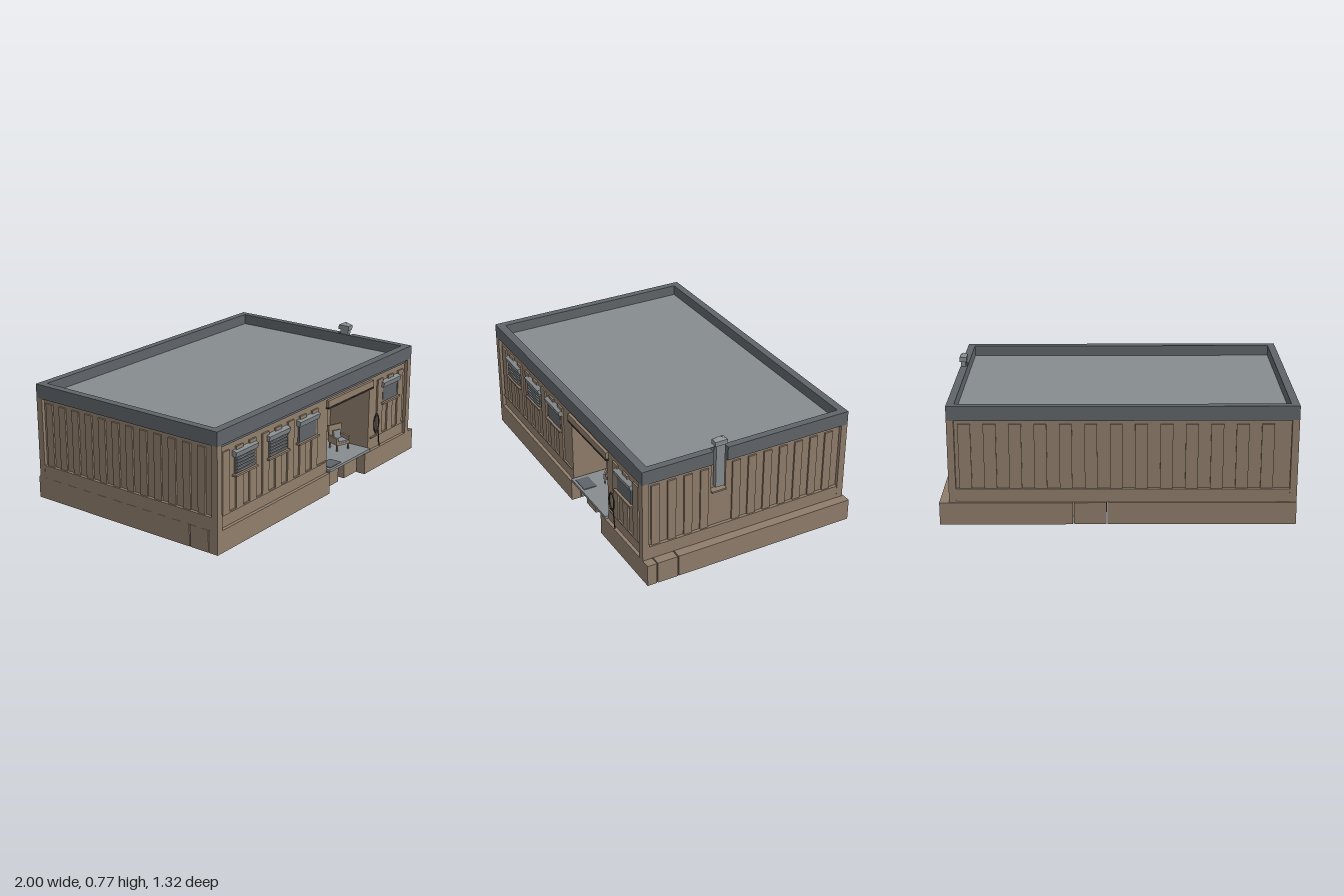
import * as THREE from 'three';

const paint = (name, hex) => {
  const m = new THREE.MeshStandardMaterial({ color: hex });
  m.name = name;
  return m;
};

export function createModel() {
  const brown = paint('clay brown', 0x8f7d6b);
  const slate = paint('slate grey', 0x5f6468);
  const grey = paint('light grey', 0x868b8e);
  const dark = paint('dark glass', 0x4a4f53);
  const black = paint('dark trim', 0x35312e);

  const model = new THREE.Group();
  model.name = 'building';

  const add = (parent, name, geo, mat) => {
    const m = new THREE.Mesh(geo, mat);
    m.name = name;
    parent.add(m);
    return m;
  };
  // Box given by its minimum and maximum on each axis
  const box = (parent, name, mat, x0, x1, y0, y1, z0, z1) => {
    const m = add(parent, name, new THREE.BoxGeometry(x1 - x0, y1 - y0, z1 - z0), mat);
    m.position.set((x0 + x1) / 2, (y0 + y1) / 2, (z0 + z1) / 2);
    return m;
  };
  const group = (parent, name) => {
    const g = new THREE.Group();
    g.name = name;
    parent.add(g);
    return g;
  };
  const extrude = (pts, depth, hole) => {
    const s = new THREE.Shape(pts.map(p => new THREE.Vector2(...p)));
    if (hole) s.holes.push(new THREE.Path(hole.map(p => new THREE.Vector2(...p))));
    return new THREE.ExtrudeGeometry(s, { depth, bevelEnabled: false });
  };

  // Foundation blocks in three rows with narrow joints, notched under the porch
  const base = group(model, 'foundation');
  const rows = [
    [-0.655, 0.463, [[-1, 0.058], [0.064, 0.246], [0.252, 1]]],
    [0.47, 0.592, [[-1, 0.058], [0.13, 0.246], [0.31, 1]]],
    [0.598, 0.655, [[-1, 0.058], [0.44, 1]]],
  ];
  for (const [z0, z1, spans] of rows)
    for (const [x0, x1] of spans) box(base, 'foundationBlock', brown, x0, x1, 0, 0.13, z0, z1);

  // One clad wall, built facing +z and turned into place
  const wall = (name, turn, d, u0, u1, o) => {
    const g = group(model, name);
    g.rotation.y = turn;
    const panel = add(g, 'wallPanel', extrude([
      [u0 + 0.02, 0.13], ...(o.bottom || []), [u1 - 0.02, 0.13],
      [u1 - 0.02, 0.61], ...(o.top || []), [u0 + 0.02, 0.61]], 0.025), brown);
    panel.position.z = d - 0.045;
    box(g, 'cornerPost', brown, u0, u0 + 0.04, 0.13, 0.612, d - 0.04, d);
    box(g, 'cornerPost', brown, u1 - 0.035, u1, 0.13, 0.612, d - 0.04, d);
    if (o.sill) box(g, 'wallSill', brown, u0 + 0.04, u1 - 0.035, 0.13, 0.208, d - 0.04, d - 0.001);
    // Evenly spaced vertical ribs
    for (let u = u0 + 0.06; u < u1 - 0.09; u += o.step) {
      const w = o.step / 2;
      if ((o.skip || []).some(([a, b]) => u + w > a && u < b)) continue;
      box(g, 'rib', brown, u, u + w, 0.208, o.ribTop, d - 0.022, d - 0.01);
    }
    return g;
  };
  const front = wall('frontWall', 0, 0.655, -1, 0.945, {
    step: 0.117, ribTop: 0.56, skip: [[0.03, 0.53]],
    bottom: [[0.05, 0.13], [0.05, 0.535], [0.5, 0.535], [0.5, 0.13]],
  });
  wall('backWall', Math.PI, 0.645, -0.945, 1, { step: 0.14, ribTop: 0.585, sill: true });
  wall('leftWall', Math.PI / 2, 0.945, -0.655, 0.645, {
    step: 0.1, ribTop: 0.585, sill: true, skip: [[-0.225, -0.135]],
    top: [[-0.135, 0.61], [-0.135, 0.43], [-0.225, 0.43], [-0.225, 0.61]],
  });
  wall('rightWall', -Math.PI / 2, 1, -0.645, 0.655, { step: 0.1, ribTop: 0.585, sill: true });
  box(front, 'eaveStrip', slate, -0.96, 0.91, 0.59, 0.612, 0.62, 0.64);
  box(front, 'lowerRail', brown, -0.96, 0.04, 0.202, 0.21, 0.63, 0.645);
  box(front, 'lowerRail', brown, 0.52, 0.91, 0.202, 0.21, 0.63, 0.645);

  // Parapet ring, notched for the flue, around a flat roof
  const ring = add(model, 'parapet', extrude([
    [-1, -0.655], [0.945, -0.655], [0.945, -0.225], [0.908, -0.225],
    [0.908, -0.135], [0.945, -0.135], [0.945, 0.645], [-1, 0.645]], 0.083,
  [[-0.955, -0.605], [-0.955, 0.6], [0.902, 0.6], [0.902, -0.605]]), slate);
  ring.rotation.x = -Math.PI / 2;
  ring.position.y = 0.61;
  box(model, 'roofDeck', grey, -0.96, 0.905, 0.6, 0.63, -0.61, 0.61);

  // Flue standing in its niche
  const flue = group(model, 'flue');
  box(flue, 'nicheBack', brown, 0.89, 0.9, 0.42, 0.612, 0.13, 0.23);
  box(flue, 'nicheLedge', brown, 0.9, 0.94, 0.422, 0.432, 0.135, 0.225);
  box(flue, 'fluePipe', grey, 0.915, 0.943, 0.458, 0.73, 0.152, 0.207);
  box(flue, 'flueCap', grey, 0.907, 0.949, 0.72, 0.748, 0.142, 0.217);
  const tip = add(flue, 'flueTip', new THREE.ConeGeometry(Math.SQRT1_2, 0.02, 4).rotateY(Math.PI / 4), grey);
  tip.scale.set(0.042, 1, 0.075);
  tip.position.set(0.928, 0.758, 0.18);

  // Windows with awnings and sills, some with louvres
  [[-0.75, true], [-0.455, true], [-0.165, false], [0.72, false]].forEach(([x, louvred]) => {
    const w = group(front, 'window');
    box(w, 'glass', slate, x - 0.083, x + 0.083, 0.405, 0.51, 0.63, 0.647);
    box(w, 'awning', grey, x - 0.098, x + 0.098, 0.508, 0.54, 0.63, 0.662).rotation.x = 0.25;
    box(w, 'windowSill', brown, x - 0.098, x + 0.098, 0.397, 0.408, 0.63, 0.662);
    if (louvred) for (let i = 0; i < 5; i++) {
      const y = 0.416 + i * 0.018;
      box(w, 'louvre', grey, x - 0.08, x + 0.08, y, y + 0.009, 0.644, 0.656);
    }
  });

  // Porch recess, canopy, floor and door
  const porch = group(model, 'porch');
  box(porch, 'backPanel', brown, 0.04, 0.51, 0.13, 0.54, 0.35, 0.36);
  box(porch, 'sidePanel', brown, 0.04, 0.05, 0.13, 0.54, 0.35, 0.61);
  box(porch, 'sidePanel', brown, 0.5, 0.51, 0.13, 0.54, 0.35, 0.61);
  box(porch, 'ceiling', brown, 0.04, 0.51, 0.535, 0.545, 0.35, 0.61);
  box(porch, 'canopy', brown, 0.035, 0.518, 0.538, 0.578, 0.62, 0.652);
  box(porch, 'canopyTrim', black, 0.033, 0.52, 0.528, 0.537, 0.62, 0.654);
  box(porch, 'porchFloor', grey, 0.058, 0.498, 0.132, 0.148, 0.35, 0.655);
  box(porch, 'doorMat', slate, 0.085, 0.2, 0.148, 0.152, 0.56, 0.64);
  box(porch, 'doorPanel', slate, 0.15, 0.26, 0.148, 0.5, 0.36, 0.375);
  box(porch, 'glassDoor', dark, 0.085, 0.15, 0.148, 0.5, 0.36, 0.38);
  box(porch, 'doorHandle', black, 0.131, 0.14, 0.28, 0.37, 0.38, 0.392);

  // Armchairs facing +z before they are turned
  const armchair = (x, z, turn, s) => {
    const c = group(porch, 'armchair');
    c.position.set(x, 0.148, z);
    c.rotation.y = turn;
    c.scale.setScalar(s);
    for (const a of [-1, 1]) {
      for (const b of [-0.036, 0.036])
        box(c, 'chairLeg', brown, a * 0.042 - 0.004, a * 0.042 + 0.004, 0, 0.05, b - 0.004, b + 0.004);
      box(c, 'armrest', brown, a * 0.044 - 0.007, a * 0.044 + 0.007, 0.04, 0.082, -0.042, 0.042);
    }
    box(c, 'chairSeat', brown, -0.04, 0.04, 0.035, 0.05, -0.042, 0.042);
    box(c, 'cushion', grey, -0.036, 0.036, 0.05, 0.06, -0.036, 0.04);
    box(c, 'chairBack', brown, -0.048, 0.048, 0.045, 0.14, -0.052, -0.038).rotation.x = -0.12;
    const pillow = box(c, 'pillow', grey, -0.025, 0.025, 0.058, 0.108, -0.034, -0.02);
    pillow.rotation.x = -0.2;
  };
  armchair(0.39, 0.5, -0.35, 1);
  armchair(0.195, 0.46, 0.9, 0.8);

  // Coiled hose hanging on the wall
  const hose = group(front, 'hose');
  const coil = add(hose, 'hoseCoil', new THREE.TorusGeometry(0.028, 0.0035, 6, 24), black);
  coil.scale.y = 2;
  coil.position.set(0.57, 0.29, 0.648);
  const path = new THREE.CatmullRomCurve3([[0.565, 0.235], [0.585, 0.25], [0.597, 0.2], [0.608, 0.135]]
    .map(([x, y]) => new THREE.Vector3(x, y, 0.65)));
  add(hose, 'hoseTail', new THREE.TubeGeometry(path, 16, 0.0035, 6), black);
  return model;
}
